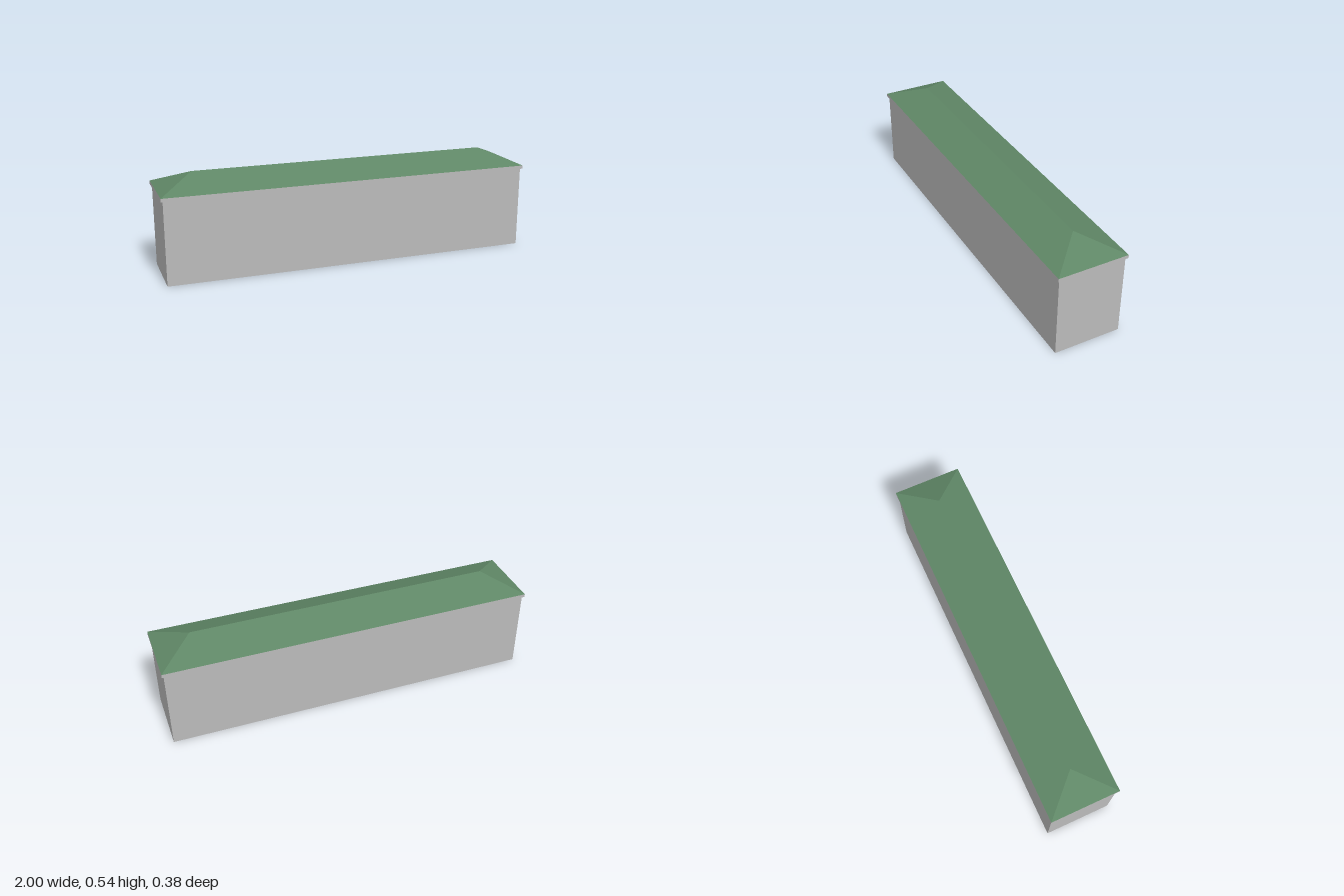
import * as THREE from 'three';

const EAVE_X = 1, EAVE_Z = 0.1875;
const WALL_X = 0.99, WALL_Z = 0.178;
const WALL_TOP = 0.44, EAVE_TOP = 0.458, RIDGE_Y = 0.537;
const RIDGE_X = EAVE_X - EAVE_Z;

// Box standing on y = 0, keeping only its four upright sides
function boxSides(halfX, height, halfZ) {
  const geo = new THREE.BoxGeometry(halfX * 2, height, halfZ * 2).translate(0, height / 2, 0);
  const index = Array.from(geo.index.array);
  geo.setIndex([...index.slice(0, 12), ...index.slice(24, 36)]);
  geo.clearGroups();
  return geo;
}

export function createModel() {
  const wallGray = new THREE.MeshStandardMaterial({ color: 0xbababa, side: THREE.DoubleSide });
  wallGray.name = 'wall gray';
  const roofGreen = new THREE.MeshStandardMaterial({ color: 0x5f8766 });
  roofGreen.name = 'roof green';

  const model = new THREE.Group();
  model.name = 'longBuilding';
  const add = (name, geo, material, y) => {
    const mesh = new THREE.Mesh(geo, material);
    mesh.name = name;
    mesh.position.y = y;
    model.add(mesh);
  };

  // Walls, open underneath
  add('walls', boxSides(WALL_X, WALL_TOP, WALL_Z), wallGray, 0);

  // Overhanging eave slab, which also closes the top of the walls
  const eaveHeight = EAVE_TOP - WALL_TOP;
  add('eave', new THREE.BoxGeometry(EAVE_X * 2, eaveHeight, EAVE_Z * 2), wallGray, WALL_TOP + eaveHeight / 2);

  // Hip roof: the upper corners are drawn in to the ridge line
  const hip = boxSides(EAVE_X, RIDGE_Y - EAVE_TOP, EAVE_Z);
  const pos = hip.attributes.position;
  for (let i = 0; i < pos.count; i++) {
    if (pos.getY(i) > 0.01) {
      pos.setX(i, Math.sign(pos.getX(i)) * RIDGE_X);
      pos.setZ(i, 0);
    }
  }
  hip.computeVertexNormals();
  add('roof', hip, roofGreen, EAVE_TOP);

  return model;
}
